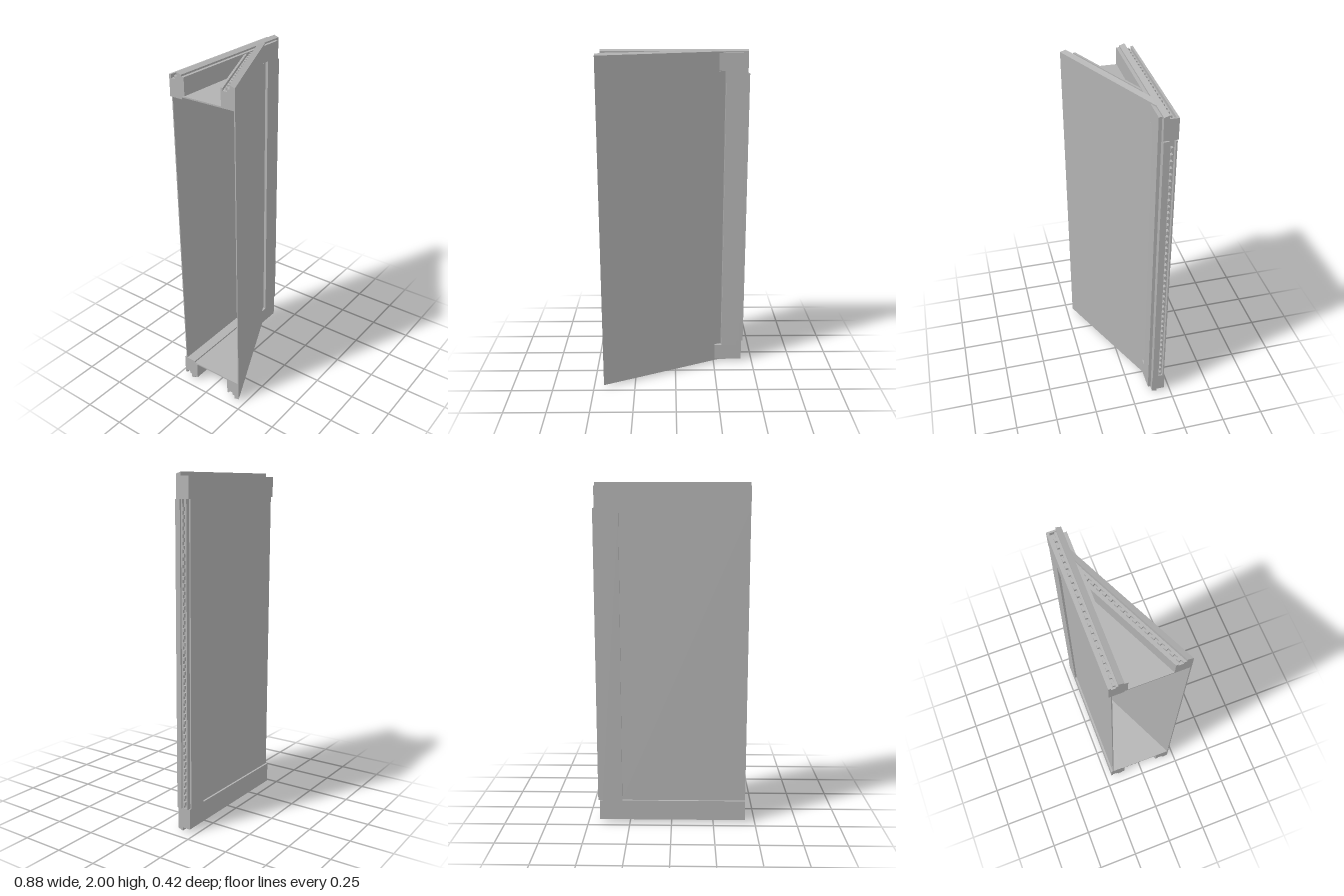
import * as THREE from 'three';
import { ConvexGeometry } from 'three/addons/geometries/ConvexGeometry.js';
import { mergeGeometries } from 'three/addons/utils/BufferGeometryUtils.js';

const X0 = -0.44;                 // open side of both panels
const BACK = -0.133;              // front plane of the straight panel
const LIP = -0.115;               // front plane of the thin frame on it
const COS = 0.907, SIN = 0.423;   // direction of the angled panel

// Convex prism over a plan outline of [x, z, optional top height]
function prism(plan, y0, y1, flip = false) {
  const pts = [];
  for (const [x, z, top = y1] of plan) {
    for (const y of [y0, top]) pts.push(new THREE.Vector3(x, flip ? 2 - y : y, z));
  }
  return new ConvexGeometry(pts);
}
const rect = (x0, x1, z0, z1) => [[x0, z0], [x1, z0], [x1, z1], [x0, z1]];

// Angled strip between two depths behind the front face, cut by x = X0 and z = zEnd
function strip(t0, t1, zEnd, topA, topB) {
  const zAt = t => 0.21 - t / COS;
  const xAt = t => X0 + (zAt(t) - zEnd) * COS / SIN;
  return [[X0, zAt(t0), topA], [xAt(t0), zEnd, topA], [xAt(t1), zEnd, topB], [X0, zAt(t1), topB]];
}
// Point at distance u along the angled panel and depth t behind its face
const along = (u, t) => [X0 + u * COS - t * SIN, 0.21 - u * SIN - t * COS];

export function createModel() {
  const model = new THREE.Group();
  const grey = new THREE.MeshStandardMaterial({ color: 0xb2b2b2 });
  grey.name = 'panelGrey';
  grey.side = THREE.DoubleSide;

  const add = (parent, name, geometries) => {
    const mesh = new THREE.Mesh(mergeGeometries(geometries), grey);
    mesh.name = name;
    parent.add(mesh);
  };

  const straight = new THREE.Group();
  straight.name = 'straightPanel';
  const angled = new THREE.Group();
  angled.name = 'angledPanel';
  model.add(straight, angled);

  for (const flip of [false, true]) {
    const side = flip ? 'bottom' : 'top';

    // Straight rail: body, tall front edge, back wall and end cap around a groove
    add(straight, side + 'Rail', [
      prism(rect(X0, 0.43, -0.213, BACK), 1.86, 1.96, flip),
      prism([[X0, BACK, 1.99], [0.43, BACK, 1.99], [0.43, -0.163, 2], [X0, -0.163, 2]], 1.96, 2, flip),
      prism(rect(X0, 0.43, -0.213, -0.2), 1.96, 1.98, flip),
      prism(rect(0.42, 0.43, -0.2, -0.163), 1.96, 1.98, flip),
    ]);
    const teeth = [prism(rect(X0, 0.42, -0.175, -0.163), 1.96, 1.975, flip)];
    for (let x = X0 + 0.01; x < 0.4; x += 0.04) {
      teeth.push(prism(rect(x, x + 0.02, -0.188, -0.175), 1.96, 1.975, flip));
    }
    add(straight, side + 'RailTeeth', teeth);
    add(straight, side + 'FrameLip', [prism(rect(X0, 0.4, BACK, LIP), 1.88, 1.98, flip)]);

    // Angled rail with the same section
    add(angled, side + 'AngledRail', [
      prism(strip(0, 0.08, LIP), 1.87, 1.96, flip),
      prism(strip(0, 0.03, BACK, 1.988, 1.998), 1.96, 1.998, flip),
      prism(strip(0.068, 0.08, LIP), 1.96, 1.975, flip),
    ]);
    const angledTeeth = [prism(strip(0.03, 0.043, BACK), 1.96, 1.975, flip)];
    for (let u = 0.04; u < 0.72; u += 0.04) {
      const plan = [along(u, 0.043), along(u + 0.02, 0.043), along(u + 0.02, 0.056), along(u, 0.056)];
      angledTeeth.push(prism(plan, 1.96, 1.975, flip));
    }
    add(angled, side + 'AngledRailTeeth', angledTeeth);

    // Triangular plate closing the space between the panels
    const end = X0 + (0.21 - 0.01 - BACK) * COS / SIN;
    add(model, side + 'Plate', [prism([[X0, BACK], [end, BACK], [X0, 0.2]], 1.87, 1.878, flip)]);
  }

  // Stile with its grooved edge
  add(straight, 'stile', [
    prism(rect(0.295, 0.415, -0.213, BACK), 0.14, 1.86),
    prism(rect(0.415, 0.44, -0.163, BACK), 0.14, 1.86),
    prism(rect(0.415, 0.44, -0.205, -0.197), 0.14, 1.86),
    prism(rect(0.415, 0.43, -0.172, -0.163), 0.14, 1.86),
  ]);
  const stileTeeth = [];
  for (let y = 0.16; y < 1.84; y += 0.04) {
    stileTeeth.push(prism(rect(0.415, 0.438, -0.186, -0.172), y, y + 0.02));
  }
  add(straight, 'stileTeeth', stileTeeth);
  add(straight, 'sideFrameLip', [prism(rect(0.3, 0.4, BACK, LIP), 0.12, 1.88)]);

  // Thin sheets between the rails
  add(straight, 'backSheet', [prism(rect(X0, 0.3, -0.201, -0.195), 0.14, 1.86)]);
  add(angled, 'frontSheet', [prism(strip(0, 0.006, BACK), 0.125, 1.875)]);

  return model;
}
